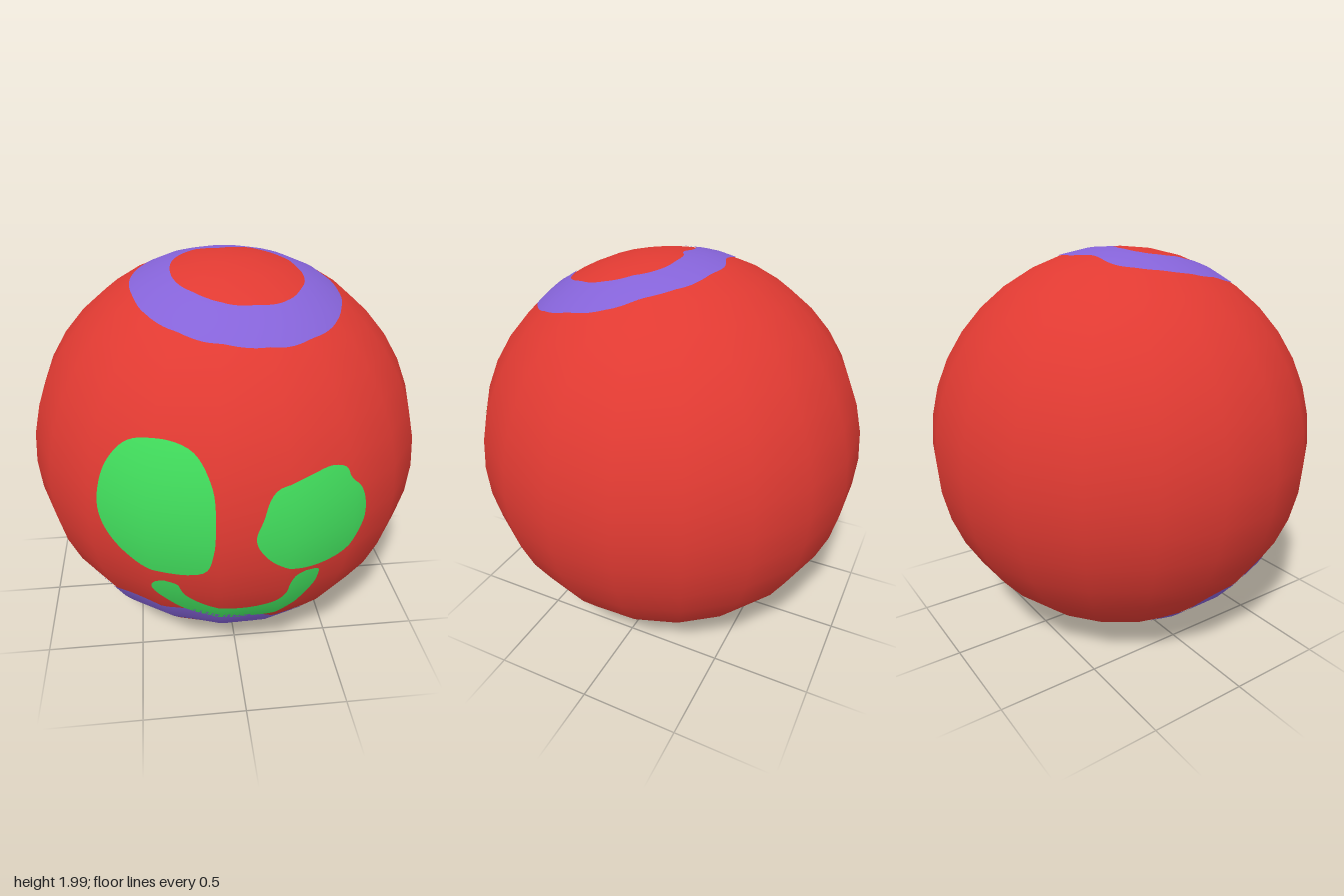
import * as THREE from 'three';

const RADIUS = 0.994;
const CENTRE = new THREE.Vector3(0, 1.005, 0);

// Closed or open smooth curve through flat [a, b] pairs
const curve = (pts, closed) =>
  new THREE.CatmullRomCurve3(pts.map(([a, b]) => new THREE.Vector3(a, b, 0)), closed, 'centripetal');

// Rays that carry flat outlines on to the ball
const projections = {
  front: (a, b) => [new THREE.Vector3(a, b, 5), new THREE.Vector3(0, 0, -1)],
  top: (a, b) => [new THREE.Vector3(a, 5, b), new THREE.Vector3(0, -1, 0)],
  bottom: (a, b) => [new THREE.Vector3(a, -5, b), new THREE.Vector3(0, 1, 0)],
};

// Painted skin between an outer and an inner curve, hugging the ball's facets
function paintedPatch(ball, name, material, side, outer, inner, along, across) {
  const caster = new THREE.Raycaster();
  const fallback = new THREE.Sphere(CENTRE, RADIUS);
  const points = [], normals = [], index = [];
  for (let i = 0; i <= along; i++) {
    const a = outer(i / along), b = inner(i / along);
    for (let j = 0; j <= across; j++) {
      const p = a.clone().lerp(b, j / across);
      caster.set(...projections[side](p.x, p.y));
      const hit = caster.intersectObject(ball)[0];
      const q = hit ? hit.point : caster.ray.intersectSphere(fallback, new THREE.Vector3());
      const n = q.clone().sub(CENTRE).normalize();
      points.push(q.clone().addScaledVector(n, 0.004));
      normals.push(n);
    }
  }
  // Every triangle is wound to face away from the ball
  const addTriangle = (a, b, c) => {
    const e = points[b].clone().sub(points[a]).cross(points[c].clone().sub(points[a]));
    if (e.dot(normals[a]) >= 0) index.push(a, b, c);
    else index.push(a, c, b);
  };
  for (let i = 0; i < along; i++) {
    for (let j = 0; j < across; j++) {
      const a = i * (across + 1) + j, b = a + across + 1;
      addTriangle(a, b, a + 1);
      addTriangle(b, b + 1, a + 1);
    }
  }
  const g = new THREE.BufferGeometry();
  g.setAttribute('position', new THREE.Float32BufferAttribute(points.flatMap(p => p.toArray()), 3));
  g.setAttribute('normal', new THREE.Float32BufferAttribute(normals.flatMap(n => n.toArray()), 3));
  g.setIndex(index);
  const mesh = new THREE.Mesh(g, material);
  mesh.name = name;
  return mesh;
}

export function createModel() {
  const group = new THREE.Group();
  group.name = 'paintedBall';
  const mat = (name, color) => {
    const m = new THREE.MeshStandardMaterial({ color });
    m.name = name;
    return m;
  };
  const red = mat('red', 0xe03a32);
  const green = mat('green', 0x41dc5c);
  const purple = mat('purple', 0x8563d8);

  // Ball
  const geometry = new THREE.SphereGeometry(RADIUS, 20, 20);
  geometry.rotateY(THREE.MathUtils.degToRad(-7.5)).translate(...CENTRE.toArray());
  const ball = new THREE.Mesh(geometry, red);
  ball.name = 'ball';
  group.add(ball);

  // Eyes: filled outlines in x, y
  const eyes = {
    rightEye: [[-0.36, 1.44], [-0.22, 1.4], [-0.15, 1.27], [-0.14, 1.1], [-0.15, 0.96], [-0.18, 0.86],
      [-0.25, 0.825], [-0.38, 0.825], [-0.47, 0.85], [-0.57, 0.93], [-0.63, 1.06], [-0.62, 1.2],
      [-0.57, 1.32], [-0.48, 1.41]],
    leftEye: [[0.03, 1.02], [0.06, 1.12], [0.085, 1.2], [0.12, 1.245], [0.2, 1.27], [0.27, 1.285],
      [0.36, 1.3], [0.43, 1.275], [0.45, 1.23], [0.51, 1.16], [0.54, 1.05], [0.52, 0.95],
      [0.44, 0.86], [0.32, 0.82], [0.2, 0.84], [0.09, 0.91]],
  };
  for (const [name, pts] of Object.entries(eyes)) {
    const outline = curve(pts, true);
    const middle = new THREE.Vector3();
    pts.forEach(([a, b]) => middle.add(new THREE.Vector3(a, b, 0).divideScalar(pts.length)));
    group.add(paintedPatch(ball, name, green, 'front', t => outline.getPointAt(t), () => middle, 72, 14));
  }

  // Mouth: lower and upper edges meeting at both ends
  const lower = curve([[-0.36, 0.765], [-0.405, 0.75], [-0.42, 0.71], [-0.36, 0.62], [-0.22, 0.505],
    [0, 0.455], [0.17, 0.48], [0.275, 0.6], [0.325, 0.72], [0.325, 0.785], [0.265, 0.8]]);
  const upper = curve([[-0.36, 0.765], [-0.305, 0.745], [-0.29, 0.71], [-0.265, 0.665], [-0.175, 0.6],
    [0, 0.57], [0.13, 0.605], [0.18, 0.67], [0.195, 0.74], [0.22, 0.785], [0.265, 0.8]]);
  group.add(paintedPatch(ball, 'mouth', green, 'front', t => lower.getPoint(t), t => upper.getPoint(t), 80, 8));

  // Ring on top, in x, z
  const topOuter = curve([[0.02, -0.28], [0.14, -0.265], [0.25, -0.235], [0.34, -0.17], [0.44, -0.06],
    [0.51, 0.06], [0.525, 0.2], [0.5, 0.32], [0.44, 0.45], [0.33, 0.56], [0.2, 0.63], [0.08, 0.65],
    [-0.04, 0.64], [-0.15, 0.61], [-0.29, 0.52], [-0.38, 0.41], [-0.43, 0.28], [-0.455, 0.1],
    [-0.42, -0.05], [-0.33, -0.19], [-0.25, -0.235], [-0.12, -0.235]], true);
  const topInner = curve([[0, -0.06], [0.03, -0.08], [0.12, -0.085], [0.2, -0.065], [0.27, -0.01],
    [0.335, 0.11], [0.345, 0.22], [0.31, 0.32], [0.22, 0.43], [0.08, 0.475], [-0.06, 0.46],
    [-0.18, 0.37], [-0.25, 0.26], [-0.265, 0.12], [-0.23, 0], [-0.16, -0.06], [-0.08, -0.07],
    [-0.04, -0.055]], true);
  group.add(paintedPatch(ball, 'topRing', purple, 'top',
    t => topOuter.getPointAt(t), t => topInner.getPointAt(t), 110, 10));

  // Ring underneath, in x, z
  const lowOuter = curve([[0, -0.47], [0.22, -0.365], [0.345, -0.2], [0.43, -0.05], [0.47, 0.19],
    [0.43, 0.477], [0.3, 0.69], [0.13, 0.8], [0.01, 0.83], [-0.17, 0.845], [-0.39, 0.775],
    [-0.55, 0.68], [-0.7, 0.5], [-0.79, 0.2], [-0.73, -0.04], [-0.55, -0.19], [-0.35, -0.3],
    [-0.144, -0.41]], true);
  const lowInner = curve([[-0.02, -0.265], [0.11, -0.17], [0.21, -0.07], [0.26, 0.03], [0.285, 0.14],
    [0.29, 0.29], [0.25, 0.46], [0.14, 0.606], [-0.04, 0.69], [-0.18, 0.7], [-0.31, 0.67],
    [-0.45, 0.59], [-0.55, 0.486], [-0.635, 0.285], [-0.6, 0.1], [-0.5, -0.03], [-0.26, -0.15],
    [-0.11, -0.18]], true);
  group.add(paintedPatch(ball, 'bottomRing', purple, 'bottom',
    t => lowOuter.getPoint(t), t => lowInner.getPoint(t), 130, 12));

  return group;
}
